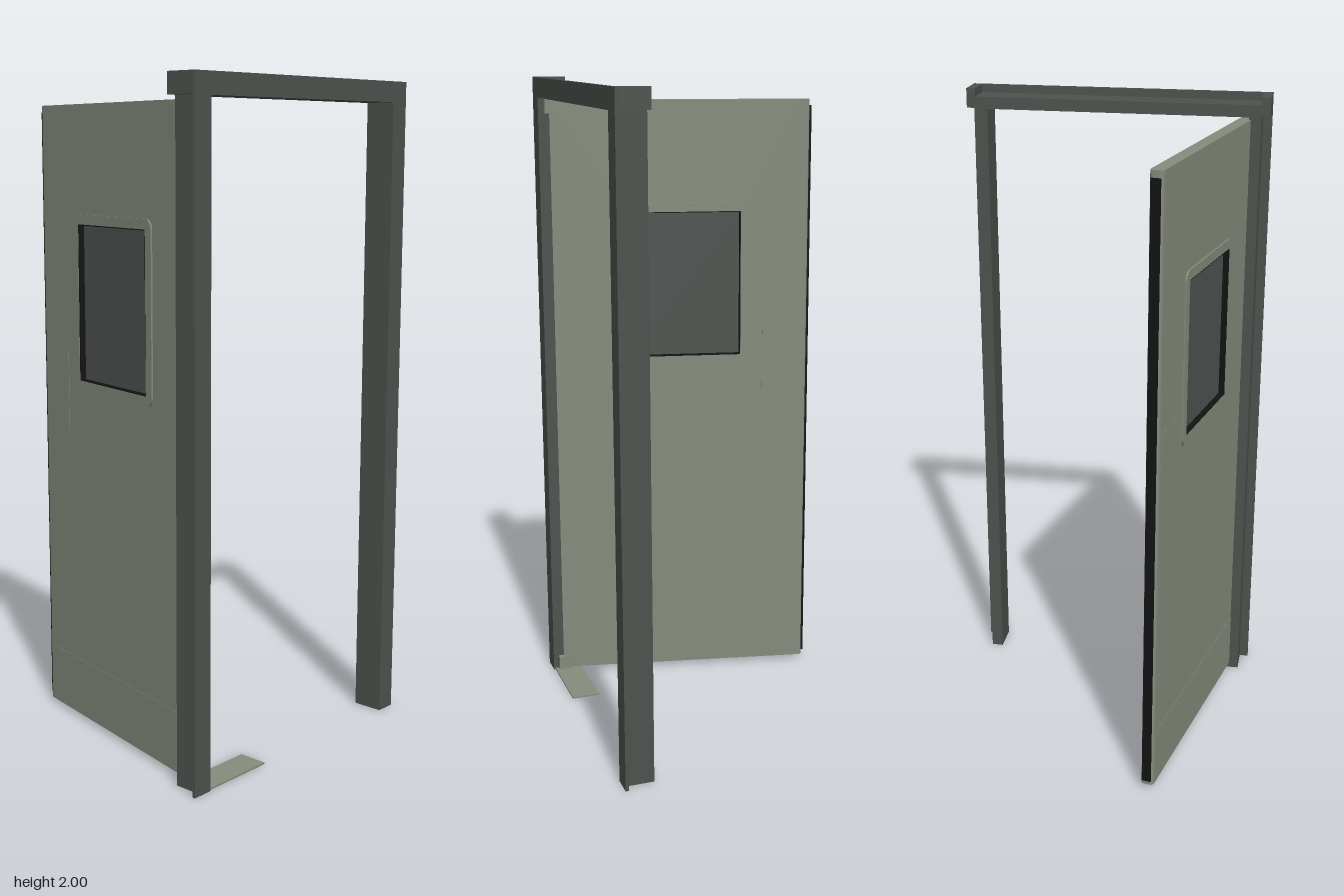
import * as THREE from 'three';

const mat = (name, color) => {
  const m = new THREE.MeshStandardMaterial({ color });
  m.name = name;
  return m;
};

export function createModel() {
  const green = mat('sage green', 0x858c7d);
  const steel = mat('dark grey steel', 0x4e524e);
  const glass = mat('dark glass', 0x4f5451);
  const rubber = mat('black rubber', 0x121412);

  const root = new THREE.Group();
  root.name = 'swingDoorWithFrame';
  const add = (parent, name, geo, material) => {
    const m = new THREE.Mesh(geo, material);
    m.name = name;
    parent.add(m);
    return m;
  };
  // box given by its limits on each axis
  const box = (parent, name, material, x0, x1, y0, y1, z0, z1) => {
    const m = add(parent, name, new THREE.BoxGeometry(x1 - x0, y1 - y0, z1 - z0), material);
    m.position.set((x0 + x1) / 2, (y0 + y1) / 2, (z0 + z1) / 2);
    return m;
  };
  const roundRect = (S, cx, cy, hw, hh, r) => {
    const s = new S();
    s.absarc(cx + hw - r, cy + hh - r, r, 0, Math.PI / 2);
    s.absarc(cx - hw + r, cy + hh - r, r, Math.PI / 2, Math.PI);
    s.absarc(cx - hw + r, cy - hh + r, r, Math.PI, Math.PI * 1.5);
    s.absarc(cx + hw - r, cy - hh + r, r, Math.PI * 1.5, Math.PI * 2);
    s.closePath();
    return s;
  };
  const rectHole = (cx, cy, hw, hh) => new THREE.Path([
    [-hw, -hh], [-hw, hh], [hw, hh], [hw, -hh], [-hw, -hh],
  ].map(([x, y]) => new THREE.Vector2(cx + x, cy + y)));
  const extrude = (shape, depth) => new THREE.ExtrudeGeometry(shape, { depth, bevelEnabled: false, curveSegments: 6 })
    .translate(0, 0, -depth / 2);

  // door frame: stepped posts and header with a thin outer flange
  const frame = new THREE.Group();
  frame.name = 'doorFrame';
  root.add(frame);
  for (const s of [1, -1]) {
    const span = (a, b) => (s > 0 ? [a, b] : [-b, -a]);
    box(frame, 'postBody', steel, 0.329, 0.415, 0, 1.975, ...span(0.41, 0.447));
    box(frame, 'postFlange', steel, 0.415, 0.425, 0, 2, ...span(0.41, 0.475));
    box(frame, 'cornerBlock', steel, 0.326, 0.415, 1.94, 2, ...span(0.447, 0.475));
  }
  box(frame, 'headerBody', steel, 0.327, 0.415, 1.938, 1.975, -0.447, 0.447);
  box(frame, 'headerFlange', steel, 0.415, 0.425, 1.938, 2, -0.41, 0.41);

  // floor plate beside the hinge post
  box(root, 'floorPlate', green, 0.33, 0.42, 0, 0.005, 0.165, 0.41);

  // door leaf, slightly turned from the wall
  const door = new THREE.Group();
  door.name = 'doorLeaf';
  door.position.set(-0.0175, 0, 0.32);
  door.rotation.y = -0.211;
  root.add(door);

  const T = 0.041, y0 = 0.015, y1 = 1.93, left = -0.385, right = 0.417;
  const wx = -0.008, wy = 1.34, hw = 0.183, hh = 0.237;
  const panel = new THREE.Shape([
    new THREE.Vector2(left, y0), new THREE.Vector2(right, y0),
    new THREE.Vector2(right, y1), new THREE.Vector2(left, y1),
  ]);
  panel.holes.push(rectHole(wx, wy, hw, hh));
  add(door, 'doorPanel', extrude(panel, T), green);

  // rounded free edge
  const nose = new THREE.Shape();
  const h = T / 2;
  nose.moveTo(left, -h);
  nose.lineTo(left, h);
  nose.lineTo(-0.398, h);
  nose.quadraticCurveTo(-0.414, h, -0.414, h - 0.012);
  nose.lineTo(-0.414, -h + 0.012);
  nose.quadraticCurveTo(-0.414, -h, -0.398, -h);
  nose.closePath();
  const noseGeo = extrude(nose, y1 - y0).rotateX(-Math.PI / 2);
  add(door, 'doorNose', noseGeo, green).position.y = (y0 + y1) / 2;
  box(door, 'edgeSeal', rubber, -0.42, -0.412, 0.03, 1.91, -0.014, 0.014);

  // window: trim on both faces, rubber liner and glass
  for (const s of [1, -1]) {
    const trim = roundRect(THREE.Shape, wx, wy, 0.213, 0.267, 0.03);
    trim.holes.push(rectHole(wx, wy, hw, hh));
    add(door, 'windowTrim', extrude(trim, 0.005), green).position.z = s * (h + 0.0025);
  }
  const liner = new THREE.Shape([[-1, -1], [1, -1], [1, 1], [-1, 1]]
    .map(([x, y]) => new THREE.Vector2(wx + x * hw, wy + y * hh)));
  liner.holes.push(rectHole(wx, wy, hw - 0.003, hh - 0.003));
  add(door, 'windowSeal', extrude(liner, T + 0.008), rubber);
  box(door, 'windowGlass', glass, wx - hw + 0.003, wx + hw - 0.003, wy - hh + 0.003, wy + hh - 0.003, -0.006, 0.006);

  // thin kick and push plates on both faces
  for (const s of [1, -1]) {
    const z = s * h;
    box(door, 'kickPlate', green, -0.395, 0.38, 0.02, 0.2, z - 0.0012, z + 0.0012);
    box(door, 'pushPlate', green, -0.395, -0.265, 0.9, 1.185, z - 0.0012, z + 0.0012);
  }

  // pivots at the top and bottom of the hinge edge
  for (const y of [0.002, 1.89]) {
    box(root, 'hingePivot', green, 0.37, 0.408, y, y + 0.048, 0.391, 0.409);
  }
  return root;
}
